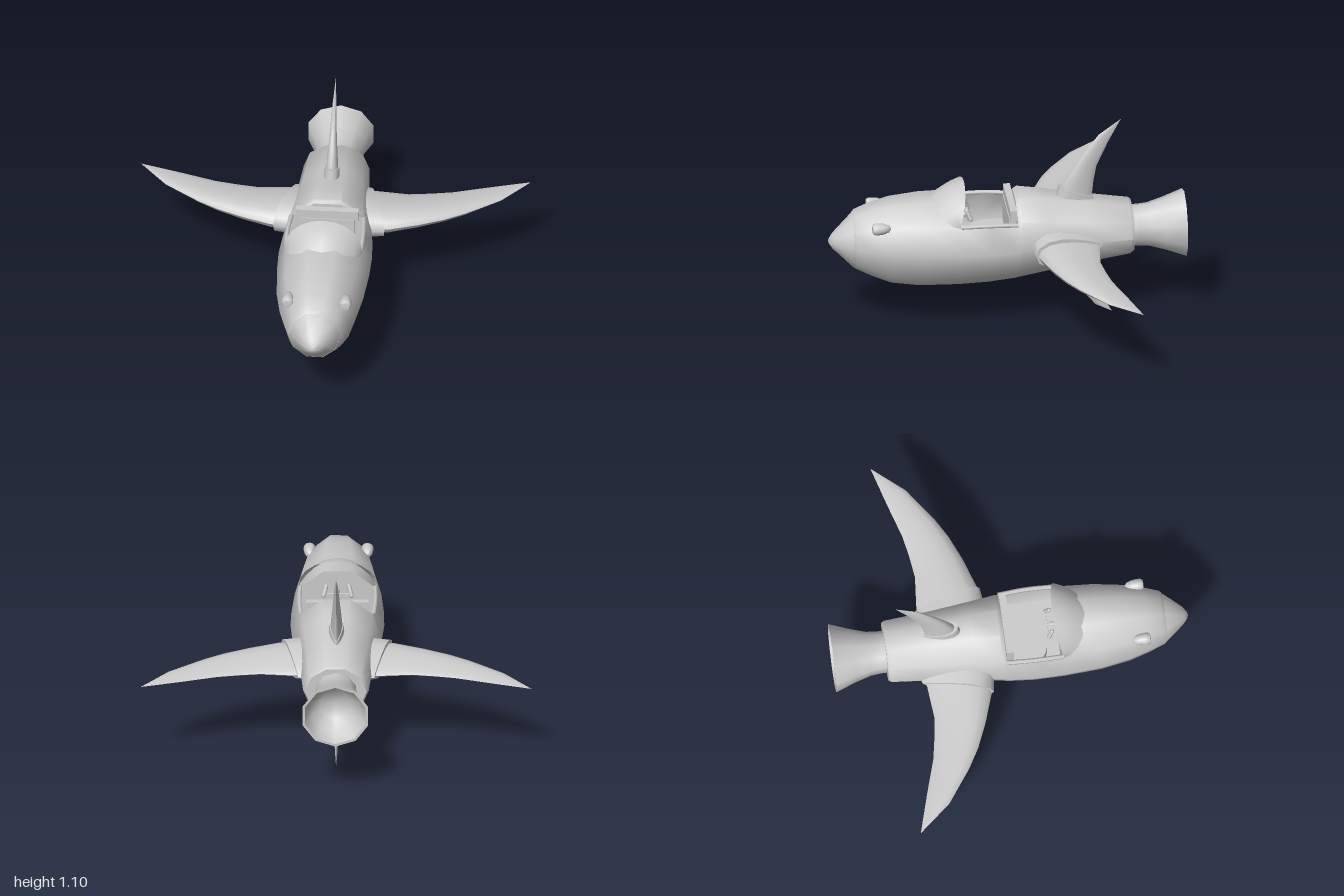
import * as THREE from 'three';
import { toCreasedNormals } from 'three/addons/utils/BufferGeometryUtils.js';

const SIDES = 10;
const AXIS_Y = 0.48;
const material = new THREE.MeshStandardMaterial({ color: 0xcccccc });
const thin = new THREE.MeshStandardMaterial({ color: 0xcccccc, side: THREE.DoubleSide });

// Skin a row of equal-length rings; skip(i, j) leaves a panel out
function loft(rings, { open = false, skip = () => false, crease = 0.8 } = {}) {
  const n = rings[0].length, index = [];
  for (let i = 0; i < rings.length - 1; i++) {
    for (let j = 0; j < (open ? n - 1 : n); j++) {
      if (skip(i, j)) continue;
      const a = i * n + j, b = i * n + (j + 1) % n, c = b + n, d = a + n;
      index.push(a, d, b, b, d, c);
    }
  }
  const geometry = new THREE.BufferGeometry().setFromPoints(rings.flat());
  geometry.setIndex(index);
  return toCreasedNormals(geometry, crease);
}

// Ten-sided hull section with flat top and bottom edges
function hullRing([z, top, bottom, halfWidth]) {
  const cy = (top + bottom) / 2, ry = (top - bottom) / 2 / Math.sin(Math.PI * 0.4);
  return Array.from({ length: SIDES }, (_, j) => {
    const a = (j / SIDES) * Math.PI * 2;
    return new THREE.Vector3(halfWidth * Math.cos(a), cy + ry * Math.sin(a), z);
  });
}

// Teardrop blade section: span and z of leading and trailing edge, half thickness
function bladeRing([leadX, leadZ, trailX, trailZ, thick]) {
  return Array.from({ length: 14 }, (_, j) => {
    const a = (j / 14) * Math.PI * 2, k = (1 + Math.cos(a)) / 2;
    return new THREE.Vector3(
      THREE.MathUtils.lerp(trailX, leadX, k),
      thick * Math.sin(a) * (1 + 0.5 * Math.cos(a)) / 1.13,
      THREE.MathUtils.lerp(trailZ, leadZ, k));
  });
}

const collapse = ([lx, lz, tx, tz]) =>
  [(lx + tx) / 2, (lz + tz) / 2, (lx + tx) / 2, (lz + tz) / 2, 0];

export function createModel() {
  const model = new THREE.Group();
  const add = (name, geometry, x = 0, y = 0, z = 0, mat = material, parent = model) => {
    const mesh = new THREE.Mesh(geometry, mat);
    mesh.name = name;
    mesh.position.set(x, y, z);
    parent.add(mesh);
    return mesh;
  };

  // Hull, front to back: z, top, bottom, half width; open over the cockpit
  const hull = [
    [0.795, 0.63, 0.355, 0.128], [0.78, 0.645, 0.345, 0.14], [0.70, 0.675, 0.305, 0.168],
    [0.60, 0.70, 0.263, 0.195], [0.45, 0.713, 0.243, 0.222], [0.25, 0.713, 0.24, 0.237],
    [0.10, 0.713, 0.245, 0.24], [-0.04, 0.70, 0.258, 0.23], [-0.06, 0.714, 0.262, 0.226],
    [-0.20, 0.695, 0.285, 0.207], [-0.40, 0.66, 0.318, 0.186], [-0.63, 0.625, 0.352, 0.168],
    [-0.645, 0.615, 0.362, 0.158], [-0.645, 0.489, 0.489, 0],
  ];
  const overCockpit = (i, j) => (i === 5 || i === 6) && j >= 1 && j <= 3;
  add('hull', loft(hull.map(hullRing), { skip: overCockpit }), 0, 0, 0, thin);

  // Nose cone, tip to base, with a rounded knob
  add('nose', loft([
    [0.918, 0.49, 0.49, 0], [0.912, 0.506, 0.474, 0.017], [0.895, 0.53, 0.45, 0.042],
    [0.868, 0.556, 0.426, 0.067], [0.80, 0.622, 0.36, 0.122], [0.77, 0.632, 0.352, 0.13],
  ].map(hullRing)));

  // Cockpit bulkheads, floor and rim
  for (const [name, section] of [['dashboard', hull[5]], ['rearBulkhead', hull[7]]]) {
    const [z, top, bottom, w] = section, mid = (top + bottom) / 2;
    add(name, loft([[z, top, bottom, w], [z, mid, mid, 0]].map(hullRing)), 0, 0, 0, thin);
  }
  add('cockpitFloor', new THREE.BoxGeometry(0.39, 0.02, 0.28), 0, 0.42, 0.105);
  add('rearRim', new THREE.BoxGeometry(0.32, 0.058, 0.035), 0, 0.655, -0.02);
  for (const side of [-1, 1]) {
    const rim = new THREE.CatmullRomCurve3([5, 6, 7].map((i) => {
      const p = hullRing(hull[i])[1];
      return new THREE.Vector3(p.x * side, p.y, p.z);
    }));
    add('sideRim', new THREE.TubeGeometry(rim, 8, 0.012, 6));
  }

  // Seat with a rounded front edge
  const pan = new THREE.Shape();
  pan.moveTo(-0.15, 0).lineTo(0.15, 0).lineTo(0.15, -0.11);
  pan.quadraticCurveTo(0.14, -0.17, 0.08, -0.18).lineTo(-0.08, -0.18);
  pan.quadraticCurveTo(-0.14, -0.17, -0.15, -0.11).closePath();
  const cushion = new THREE.ExtrudeGeometry(pan, { depth: 0.06, bevelEnabled: false, curveSegments: 6 });
  add('seatCushion', cushion.rotateX(-Math.PI / 2), 0, 0.43, 0);
  add('seatBack', new THREE.BoxGeometry(0.28, 0.15, 0.035), 0, 0.56, -0.016);

  // Control yoke
  const yoke = new THREE.Group();
  yoke.name = 'controlYoke';
  yoke.position.set(0, 0.622, 0.2);
  model.add(yoke);
  add('yokeColumn', new THREE.CylinderGeometry(0.012, 0.012, 0.06, 8).rotateX(Math.PI / 2), 0, -0.02, 0.025, material, yoke);
  add('yokeBar', new THREE.BoxGeometry(0.13, 0.02, 0.015), 0, -0.02, 0, material, yoke);
  for (const side of [-1, 1]) {
    add('yokeGrip', new THREE.CapsuleGeometry(0.011, 0.05, 3, 8), side * 0.065, 0.005, 0, material, yoke)
      .rotation.set(0.4, 0, side * 0.25);
  }

  // Windshield: sweeps from an arc on the hull to a raised rear arch
  const rows = [];
  for (let v = 0; v <= 6; v++) {
    const t = v / 6, bulge = 0.014 * Math.sin(Math.PI * t);
    rows.push(Array.from({ length: 11 }, (_, j) => {
      const a = (j / 10) * Math.PI, s = Math.sin(a);
      const base = new THREE.Vector3(0.2 * Math.cos(a), 0.618 + 0.095 * s * s, 0.25 + 0.135 * s);
      const arch = new THREE.Vector3(0.2 * Math.cos(a), 0.635 + 0.155 * s, 0.255 - 0.038 * s);
      const p = base.lerp(arch, t);
      p.y += bulge * s * s;
      return p;
    }));
  }
  add('windshield', loft(rows, { open: true, crease: 1.2 }), 0, 0, 0, thin);

  // Headlamps: domed front, rounding back into the hull
  const lampProfile = [[0, -0.085], [0.018, -0.072], [0.028, -0.045], [0.031, -0.015], [0.031, 0], [0.024, 0.012], [0, 0.016]]
    .map(([r, h]) => new THREE.Vector2(r, h));
  for (const side of [-1, 1]) {
    add('headlamp', toCreasedNormals(new THREE.LatheGeometry(lampProfile, 12), 0.8).rotateX(Math.PI / 2),
      side * 0.148, 0.617, 0.692);
  }

  // Exhaust nozzle with a hollow bowl
  const nozzle = [[0, -0.60], [0.108, -0.60], [0.108, -0.68], [0.113, -0.73], [0.137, -0.81],
    [0.176, -0.917], [0.162, -0.917], [0.13, -0.84], [0.08, -0.79], [0, -0.77]]
    .map(([r, h]) => new THREE.Vector2(r, -h));
  add('exhaustNozzle', toCreasedNormals(new THREE.LatheGeometry(nozzle, SIDES), 0.8).rotateX(-Math.PI / 2),
    0, 0.489, 0, thin);

  // Fins: blade and collar sections, turned about the hull axis
  const sideFin = {
    blade: [[0.18, -0.13, 0.15, -0.46, 0.06], [0.30, -0.135, 0.25, -0.452, 0.055],
      [0.45, -0.185, 0.385, -0.44, 0.043], [0.58, -0.24, 0.50, -0.455, 0.034],
      [0.685, -0.30, 0.61, -0.475, 0.026], [0.86, -0.425, 0.79, -0.53, 0.012], [1, -0.59, 1, -0.59, 0]],
    collar: [[0.14, -0.10, 0.11, -0.50, 0.086], [0.285, -0.12, 0.195, -0.475, 0.077]],
  };
  const topFin = {
    blade: [[0.13, -0.27, 0.13, -0.44, 0.036], [0.25, -0.285, 0.19, -0.44, 0.032],
      [0.33, -0.33, 0.28, -0.45, 0.025], [0.40, -0.375, 0.36, -0.465, 0.019],
      [0.535, -0.475, 0.495, -0.525, 0.01], [0.62, -0.59, 0.62, -0.59, 0]],
    collar: [[0.13, -0.24, 0.13, -0.46, 0.045], [0.26, -0.268, 0.19, -0.445, 0.039]],
  };
  const bottomFin = {
    blade: [[0.12, -0.31, 0.12, -0.43, 0.027], [0.215, -0.325, 0.175, -0.43, 0.024],
      [0.28, -0.35, 0.25, -0.443, 0.019], [0.35, -0.39, 0.325, -0.465, 0.013],
      [0.435, -0.46, 0.41, -0.505, 0.007], [0.478, -0.545, 0.478, -0.545, 0]],
    collar: [[0.10, -0.28, 0.10, -0.455, 0.036], [0.215, -0.308, 0.162, -0.44, 0.031]],
  };
  for (const [name, fin, turn] of [['leftFin', sideFin, 0], ['topFin', topFin, 0.5],
    ['rightFin', sideFin, 1], ['bottomFin', bottomFin, -0.5]]) {
    const group = new THREE.Group();
    group.name = name;
    group.position.y = AXIS_Y;
    group.rotation.z = turn * Math.PI;
    model.add(group);
    add('blade', loft(fin.blade.map(bladeRing), { crease: 0.9 }), 0, 0, 0, material, group);
    const end = fin.collar[fin.collar.length - 1];
    add('collar', loft([...fin.collar, collapse(end)].map(bladeRing), { crease: 0.9 }), 0, 0, 0, material, group);
  }
  return model;
}
